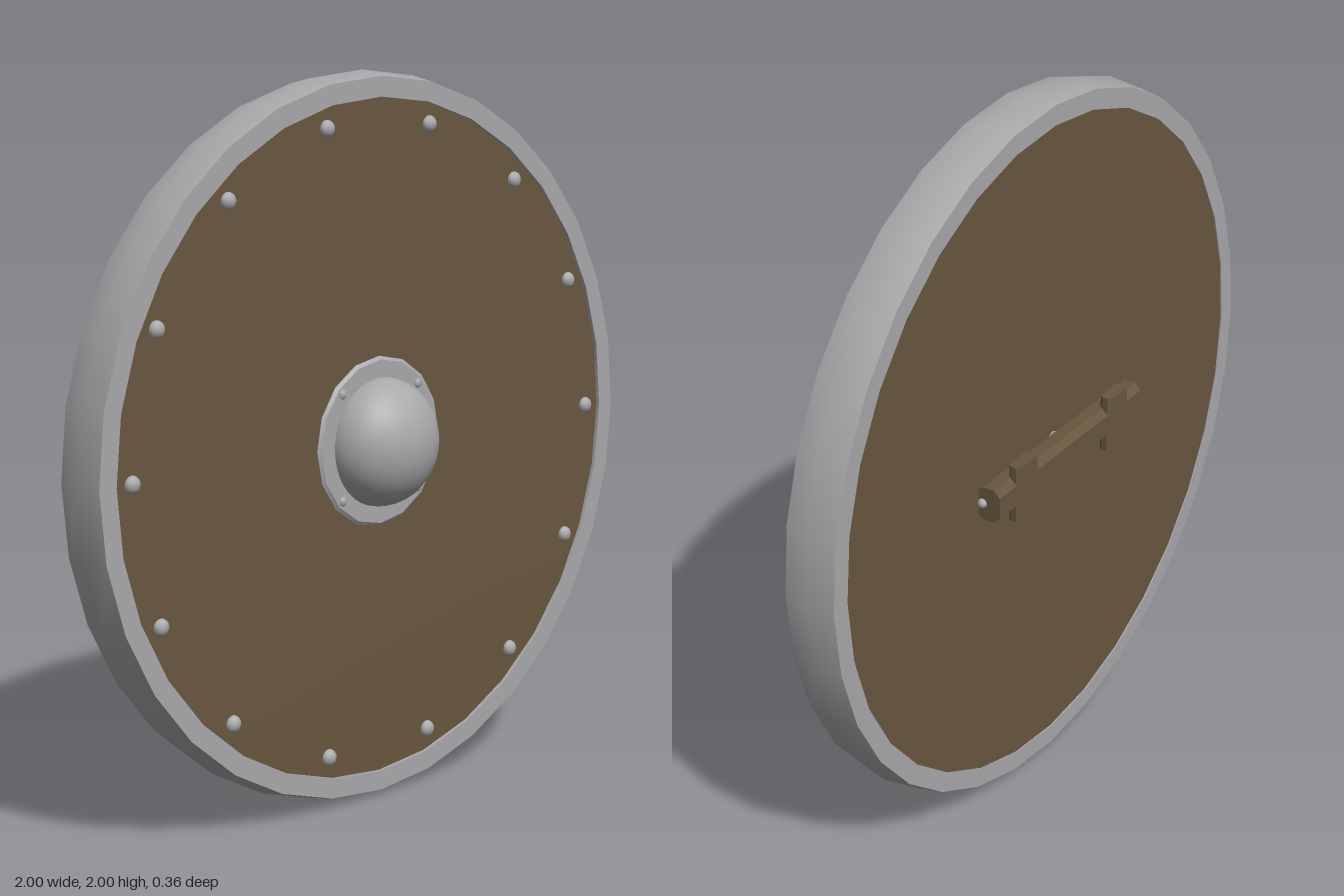
import * as THREE from 'three';
import { toCreasedNormals } from 'three/addons/utils/BufferGeometryUtils.js';

const wood = new THREE.MeshStandardMaterial({ color: 0x68573f });
wood.name = 'brown wood';
const steel = new THREE.MeshStandardMaterial({ color: 0xa9a9ac });
steel.name = 'grey steel';

// Profile of [radius, z] pairs turned about the z axis
function turned(profile, sides) {
  const points = profile.map(([r, z]) => new THREE.Vector2(r, z));
  return new THREE.LatheGeometry(points, sides).rotateX(Math.PI / 2);
}

// Rectangle with cut corners, extruded and centred along its length
function chamferedBar(x0, x1, y0, y1, cut, length) {
  const shape = new THREE.Shape([
    [x0 + cut, y0], [x1 - cut, y0], [x1, y0 + cut], [x1, y1 - cut],
    [x1 - cut, y1], [x0 + cut, y1], [x0, y1 - cut], [x0, y0 + cut],
  ].map(([x, y]) => new THREE.Vector2(x, y)));
  return new THREE.ExtrudeGeometry(shape, { depth: length, bevelEnabled: false })
    .translate(0, 0, -length / 2);
}

export function createModel() {
  const model = new THREE.Group();
  model.name = 'roundShield';

  const add = (name, geometry, material, x = 0, y = 0, z = 0) => {
    const mesh = new THREE.Mesh(geometry, material);
    mesh.name = name;
    mesh.position.set(x, y + 1, z);
    model.add(mesh);
    return mesh;
  };

  // Wooden board with softly rounded edges hidden under the rim
  add('board', turned([
    [0, -0.106], [0.935, -0.106], [0.955, -0.096],
    [0.955, 0.018], [0.935, 0.028], [0, 0.028],
  ], 32), wood);

  // Steel rim with a slightly bulged outer face
  add('rim', toCreasedNormals(turned([
    [0.93, -0.11], [0.985, -0.11], [1, -0.035],
    [0.985, 0.038], [0.93, 0.038], [0.93, -0.11],
  ], 32), 0.6), steel);

  // Studs around the front edge
  const studGeometry = new THREE.SphereGeometry(0.024, 10, 8).scale(1, 1, 0.8);
  for (let i = 0; i < 14; i++) {
    const a = (i / 14) * Math.PI * 2;
    add('stud', studGeometry, steel, 0.873 * Math.cos(a), 0.873 * Math.sin(a), 0.028);
  }

  // Central boss: flange, dome and four small rivets
  add('bossFlange', toCreasedNormals(turned([
    [0.235, 0.02], [0.235, 0.03], [0.226, 0.037], [0.15, 0.037],
  ], 16), 0.5), steel);
  add('bossDome', new THREE.SphereGeometry(0.177, 32, 20).scale(1, 1, 0.82), steel, 0, 0, 0.034);
  const rivetGeometry = new THREE.SphereGeometry(0.014, 8, 6).scale(1, 1, 0.5);
  for (let i = 0; i < 4; i++) {
    const a = Math.PI / 4 + i * Math.PI / 2;
    add('bossRivet', rivetGeometry, steel, 0.206 * Math.cos(a), 0.206 * Math.sin(a), 0.036);
  }

  // Grip across the back
  add('grip', chamferedBar(0.1, 0.172, -0.048, 0.048, 0.018, 0.71).rotateY(Math.PI / 2), wood);

  // Straps over the grip and rivets at its ends
  const strapGeometry = chamferedBar(-0.049, 0.049, 0.143, 0.18, 0.01, 0.164).rotateX(-Math.PI / 2);
  const endRivetGeometry = new THREE.SphereGeometry(0.014, 8, 6);
  for (const side of [-1, 1]) {
    add('gripStrap', strapGeometry, wood, side * 0.227);
    add('gripRivet', endRivetGeometry, steel, side * 0.355, 0, -0.118);
  }

  return model;
}
